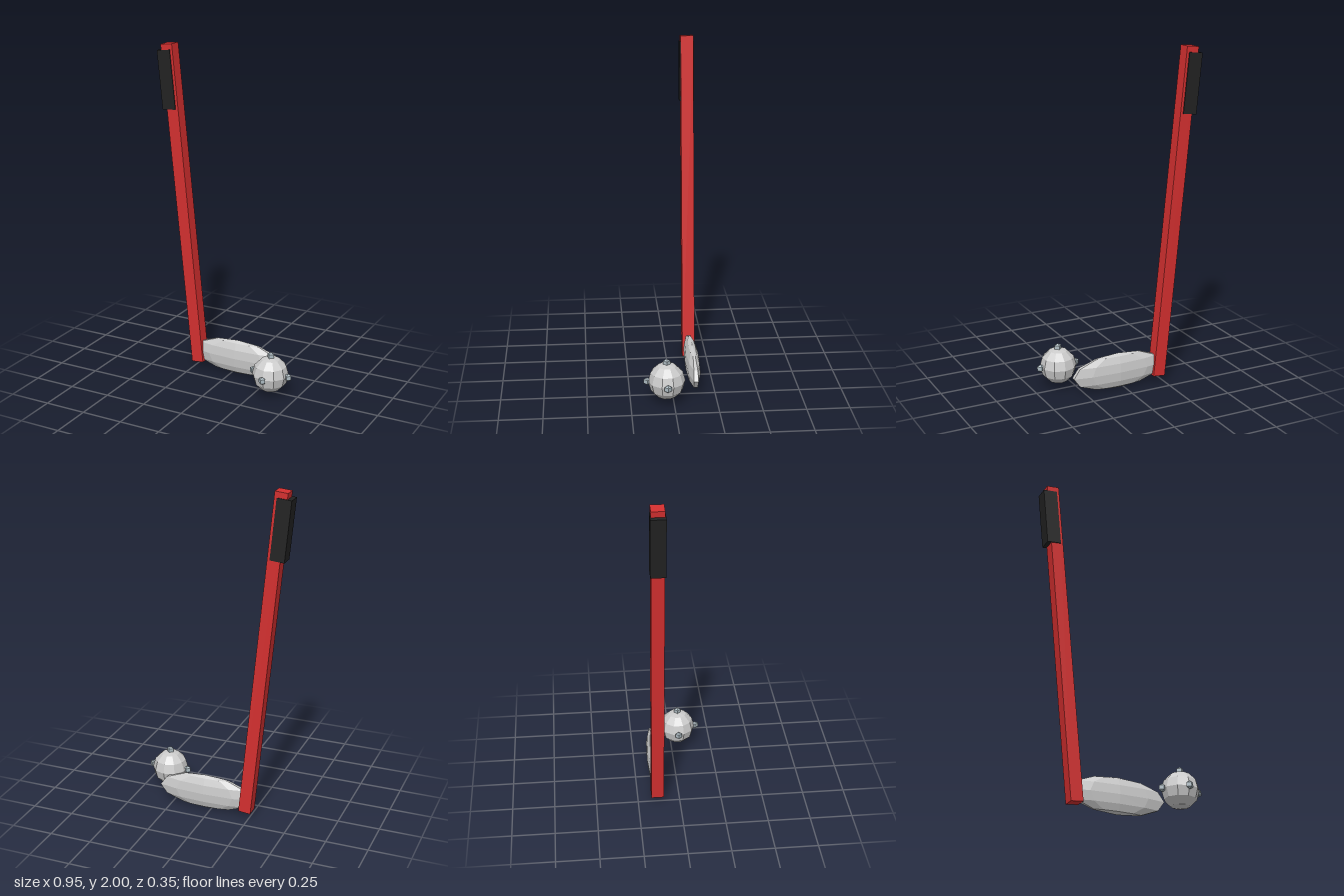
import * as THREE from 'three';

const material = (color) => new THREE.MeshStandardMaterial({ color, flatShading: true });

export function createModel() {
  const model = new THREE.Group();
  const red = material(0xd32f2f);
  const black = material(0x222222);
  const grey = material(0xcccccc);
  const steel = material(0xb0bec5);

  const add = (parent, name, geometry, mat, x, y, z) => {
    const mesh = new THREE.Mesh(geometry, mat);
    mesh.name = name;
    mesh.position.set(x, y, z);
    parent.add(mesh);
    return mesh;
  };

  // Leaning shaft with a grip near its top, offset to the outer side
  const stick = new THREE.Group();
  stick.name = 'stick';
  stick.position.set(-0.32, 1.015, -0.133);
  stick.rotation.z = 0.099;
  model.add(stick);
  add(stick, 'shaft', new THREE.BoxGeometry(0.075, 1.966, 0.075), red, 0, 0, 0);
  add(stick, 'grip', new THREE.BoxGeometry(0.085, 0.35, 0.085), black, -0.021, 0.774, 0);

  // Ten-sided sphere with a corner facing front, shared by head and ball
  const facetedSphere = () => new THREE.SphereGeometry(1, 10, 6, Math.PI / 2);

  // Flattened, stretched club head; its inner end runs into the shaft
  const head = add(model, 'head', facetedSphere(), grey, 0.035, 0.11, -0.133);
  head.scale.set(0.305, 0.109, 0.043);

  // Ball with studs on both sides, top and front
  const ball = new THREE.Group();
  ball.name = 'spikedBall';
  ball.position.set(0.342, 0.135, 0.041);
  model.add(ball);
  add(ball, 'ball', facetedSphere(), grey, 0, 0, 0).scale.setScalar(0.108);
  const studGeometry = new THREE.SphereGeometry(0.024, 4, 3);
  for (const [x, y, z] of [[-1, 0, 0], [1, 0, 0], [0, 1, 0], [0, 0, 1]]) {
    add(ball, 'stud', studGeometry, steel, x * 0.113, y * 0.113, z * 0.113);
  }

  return model;
}
